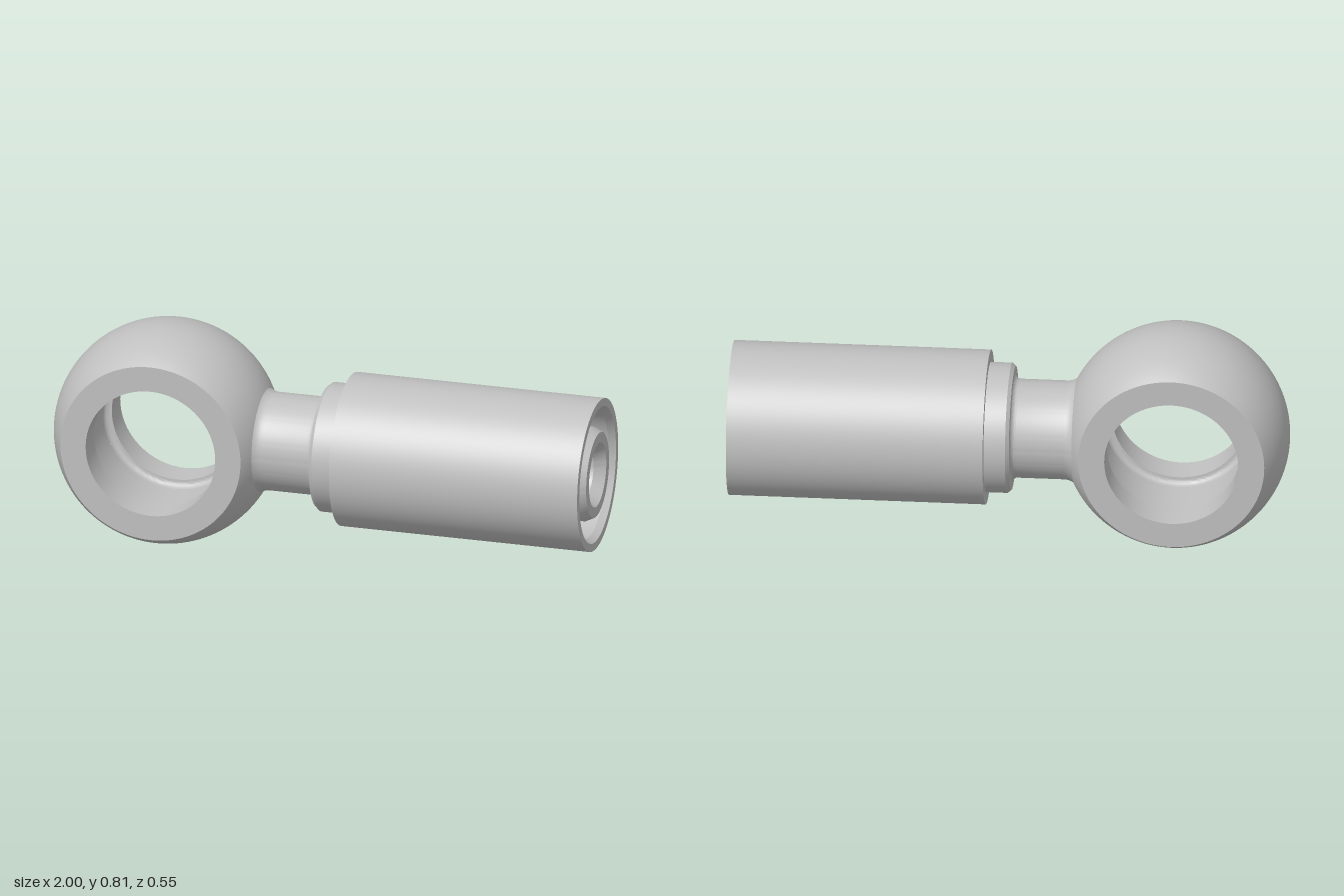
import * as THREE from 'three';
import { toCreasedNormals } from 'three/addons/utils/BufferGeometryUtils.js';

const RING_X = -0.593, AXIS_Y = 0.407;
const BALL_R = 0.407, HALF_W = 0.233, BORE_R = 0.24;
const GROOVE_R = 0.268, GROOVE_W = 0.12, FLOOR_W = 0.1;
const PORT_R = 0.09, PORT_ANGLE = 0.45;

const metal = new THREE.MeshStandardMaterial({ color: 0xc0c0c0 });
metal.name = 'steel grey';

// Points along a circular arc, angles in radians
function arc(cx, cy, r, a0, a1, n) {
  return Array.from({ length: n + 1 }, (_, i) => {
    const a = a0 + (a1 - a0) * i / n;
    return [cx + r * Math.cos(a), cy + r * Math.sin(a)];
  });
}

function lathe(points, start = 0, length = Math.PI * 2) {
  return new THREE.LatheGeometry(points.map(p => new THREE.Vector2(p[0], p[1])), 128, start, length);
}

function addMesh(group, name, geometry) {
  const mesh = new THREE.Mesh(toCreasedNormals(geometry, 0.45), metal);
  mesh.name = name;
  group.add(mesh);
}

// Remove the ball skin hidden inside the neck so that the passage stays open
function openUnderNeck(geometry) {
  const g = geometry.toNonIndexed(), p = g.attributes.position.array, kept = [];
  for (let i = 0; i < p.length; i += 9) {
    const x = (p[i] + p[i + 3] + p[i + 6]) / 3;
    const y = (p[i + 1] + p[i + 4] + p[i + 7]) / 3;
    const z = (p[i + 2] + p[i + 5] + p[i + 8]) / 3;
    if (x > 0 && Math.hypot(y, z) < 0.15) continue;
    for (let k = 0; k < 9; k++) kept.push(p[i + k]);
  }
  const out = new THREE.BufferGeometry();
  out.setAttribute('position', new THREE.Float32BufferAttribute(kept, 3));
  return out;
}

// Curved piece of groove floor with the round port and the start of its passage
function portPatch() {
  const n = 64, steps = 5, h = GROOVE_R * Math.sin(PORT_ANGLE), pos = [], index = [];
  for (let j = 0; j <= steps + 1; j++) {
    const f = Math.min(j / steps, 1);
    for (let i = 0; i <= n; i++) {
      const t = i / n * Math.PI * 2, c = Math.cos(t), s = Math.sin(t);
      const m = Math.max(Math.abs(c), Math.abs(s));
      const y = (1 - f) * c / m * h + f * c * PORT_R;
      const z = (1 - f) * s / m * FLOOR_W + f * s * PORT_R;
      pos.push(j > steps ? 0.31 : Math.sqrt(GROOVE_R ** 2 - y * y), y, z);
    }
  }
  for (let j = 0; j <= steps; j++) for (let i = 0; i < n; i++) {
    const a = j * (n + 1) + i, b = a + n + 1;
    index.push(a, b, a + 1, b, b + 1, a + 1);
  }
  const g = new THREE.BufferGeometry();
  g.setAttribute('position', new THREE.Float32BufferAttribute(pos, 3));
  g.setIndex(index);
  return g;
}

export function createModel() {
  const model = new THREE.Group();
  model.name = 'banjoHoseFitting';

  // Ring eye: truncated ball with a grooved bore, axis along z
  const eye = new THREE.Group();
  eye.name = 'ringEye';
  eye.position.set(RING_X, AXIS_Y, 0);
  model.add(eye);

  const cut = Math.asin(HALF_W / BALL_R);
  const ball = lathe(arc(0, 0, BALL_R, -cut, cut, 32)).rotateX(Math.PI / 2);
  addMesh(eye, 'ballSurface', openUnderNeck(ball));

  const rim = Math.sqrt(BALL_R ** 2 - HALF_W ** 2);
  const fillet = arc(GROOVE_R - 0.02, FLOOR_W, 0.02, Math.PI / 2, 0, 5);
  const upper = [[rim, HALF_W], [BORE_R, HALF_W], [BORE_R, GROOVE_W], ...fillet];
  const lower = upper.map(([r, z]) => [r, -z]).reverse();
  addMesh(eye, 'frontFaceAndBore', lathe(upper).rotateX(Math.PI / 2));
  addMesh(eye, 'backFaceAndBore', lathe(lower).rotateX(Math.PI / 2));

  const floor = lathe([[GROOVE_R, FLOOR_W], [GROOVE_R, -FLOOR_W]],
    Math.PI / 2 + PORT_ANGLE, Math.PI * 2 - 2 * PORT_ANGLE);
  addMesh(eye, 'grooveFloor', floor.rotateX(Math.PI / 2));
  addMesh(eye, 'portOpening', portPatch());

  // Stem parts are turned about the x axis: [radius, x]
  const stem = new THREE.Group();
  stem.name = 'stem';
  stem.position.y = AXIS_Y;
  model.add(stem);
  const turned = (name, points) => addMesh(stem, name, lathe(points).rotateZ(-Math.PI / 2));

  turned('neckAndCollar', [
    [0.225, -0.262],
    ...arc(0.237, -0.198, 0.06, Math.PI * 1.3, Math.PI, 6),
    ...arc(0.197, -0.03, 0.02, Math.PI, Math.PI / 2, 5),
    [0.222, -0.01], [0.233, 0.003], [0.233, 0.08],
  ]);

  turned('crimpSleeve', [
    [0.233, 0.08], [0.277, 0.08], [0.277, 1],
    [0.248, 1], [0.235, 0.975], [0.235, 0.3], [0.17, 0.3],
  ]);

  turned('innerNipple', [
    [0.17, 0.3], [0.17, 0.97], [0.155, 1], [0.117, 1], [PORT_R, 0.96], [PORT_R, RING_X + 0.31],
  ]);

  return model;
}
